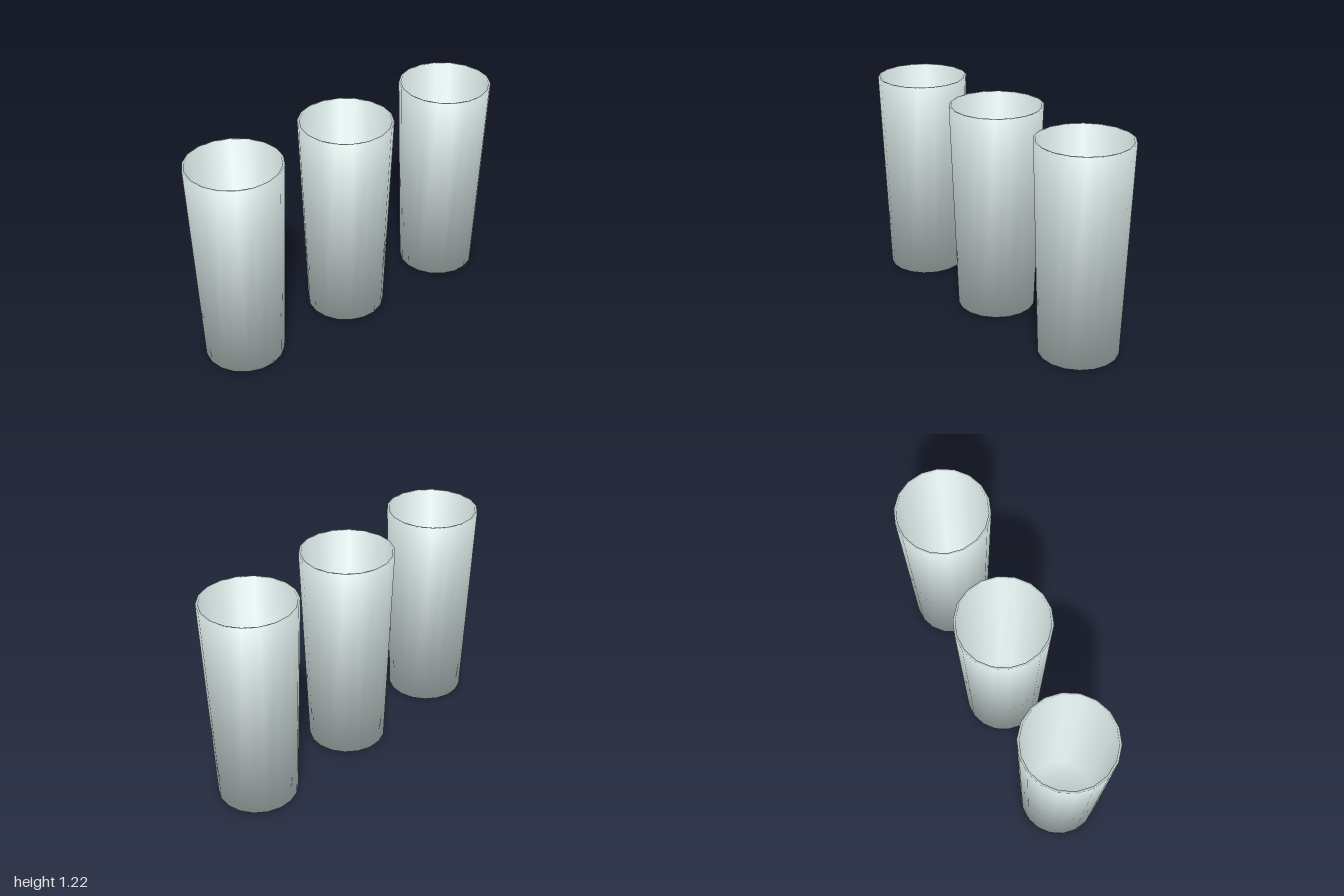
import * as THREE from 'three';

const SIDES = 18;
const HEIGHT = 1.22;
const SPACING = 0.733;

// Profile from the outer base, over the rim, to the inner floor:
// radius, height, and the outward and upward parts of the smooth normal
const PROFILE = [
  { r: 0.226, y: 0, out: 1, up: -1 },
  { r: 0.267, y: HEIGHT, out: 1, up: 1 },
  { r: 0.254, y: HEIGHT, out: -1, up: 1 },
  { r: 0.213, y: 0.015, out: -1, up: 1 },
];

// Closed disc across one ring of vertices
function addCap(index, start, faceUp) {
  const tri = (a, b, c) => {
    if (a === b || b === c || a === c) return;
    index.push(start + a, start + (faceUp ? b : c), start + (faceUp ? c : b));
  };
  for (let k = 0; k < SIDES / 2; k++) {
    const far = SIDES - k - 1;
    tri(k, k + 1, far);
    tri(k, far, (far + 1) % SIDES);
  }
}

// Thin-walled tapered tumbler, smooth shaded over every edge
function tumblerGeometry() {
  const position = [], normal = [], index = [];
  for (const { r, y, out, up } of PROFILE) {
    for (let k = 0; k < SIDES; k++) {
      const a = Math.PI / 2 + (k / SIDES) * Math.PI * 2;
      const s = Math.sin(a), c = Math.cos(a);
      position.push(r * s, y, r * c);
      normal.push(out * s * Math.SQRT1_2, up * Math.SQRT1_2, out * c * Math.SQRT1_2);
    }
  }
  // Outer wall, rim and inner wall
  for (let ring = 0; ring < PROFILE.length - 1; ring++) {
    for (let k = 0; k < SIDES; k++) {
      const a = ring * SIDES + k;
      const b = ring * SIDES + ((k + 1) % SIDES);
      index.push(a, b, b + SIDES, a, b + SIDES, a + SIDES);
    }
  }
  // Underside and inner floor
  addCap(index, 0, false);
  addCap(index, (PROFILE.length - 1) * SIDES, true);

  const geometry = new THREE.BufferGeometry();
  geometry.setAttribute('position', new THREE.Float32BufferAttribute(position, 3));
  geometry.setAttribute('normal', new THREE.Float32BufferAttribute(normal, 3));
  geometry.setIndex(index);
  return geometry;
}

export function createModel() {
  const model = new THREE.Group();
  model.name = 'tumblers';
  const glass = new THREE.MeshStandardMaterial({ color: 0xc5d3d1 });
  glass.name = 'pale grey glass';
  const geometry = tumblerGeometry();

  // Three matching glasses in a row
  ['rightTumbler', 'middleTumbler', 'leftTumbler'].forEach((name, i) => {
    const tumbler = new THREE.Mesh(geometry, glass);
    tumbler.name = name;
    tumbler.position.x = (i - 1) * SPACING;
    model.add(tumbler);
  });
  return model;
}
